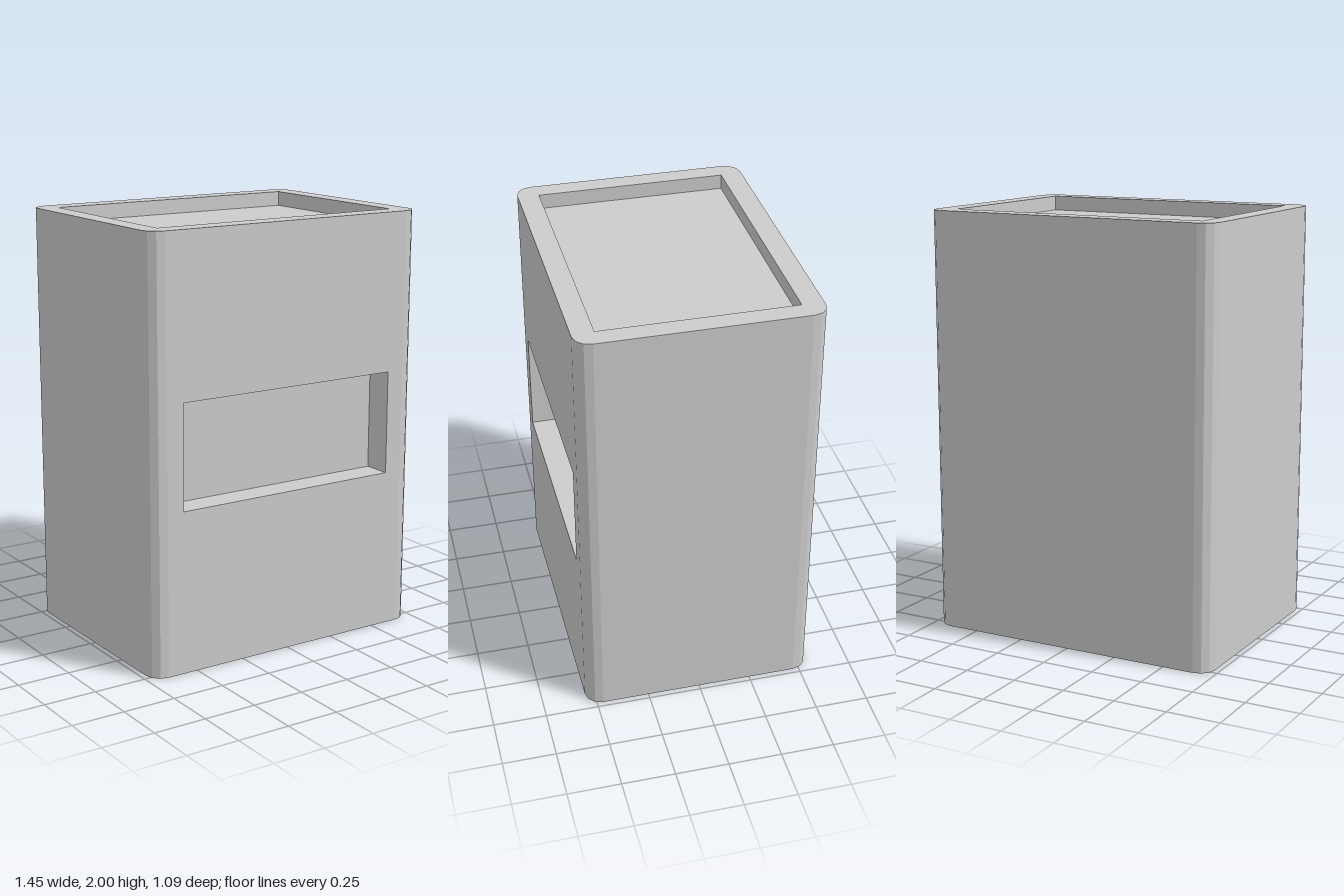
import * as THREE from 'three';

const W = 0.725, D = 0.545, H = 2, R = 0.075, STEPS = 3;
const TRAY = { x: 0.63, z: 0.445, depth: 0.07 };
const SLOT = { x: 0.565, y0: 0.76, y1: 1.25, depth: 0.135 };

// Rounded rectangle footprint, counter-clockwise, with y standing for -z
function footprint() {
  const pts = [];
  [[1, 1], [-1, 1], [-1, -1], [1, -1]].forEach(([sx, sy], k) => {
    for (let i = 0; i <= STEPS; i++) {
      const a = (k + i / STEPS) * Math.PI / 2;
      pts.push(new THREE.Vector2(sx * (W - R) + R * Math.cos(a), sy * (D - R) + R * Math.sin(a)));
    }
  });
  return pts;
}

function rectPath(x0, y0, x1, y1, PathType = THREE.Path) {
  return new PathType([[x0, y0], [x1, y0], [x1, y1], [x0, y1]].map(p => new THREE.Vector2(...p)));
}

// Box turned inside out, with one face left open (0 to 5: +x -x +y -y +z -z)
function recess(w, h, d, openFace) {
  const g = new THREE.BoxGeometry(w, h, d);
  const index = Array.from(g.index.array);
  index.splice(openFace * 6, 6);
  g.setIndex(index);
  g.clearGroups();
  g.scale(-1, 1, 1);
  g.computeVertexNormals();
  return g;
}

// Vertical walls along the footprint, leaving out the flat front
function wallGeometry(pts) {
  const pos = [];
  pts.forEach((a, i) => {
    const b = pts[(i + 1) % pts.length];
    if (a.y < -D + 1e-6 && b.y < -D + 1e-6) return;
    const a0 = [a.x, 0, -a.y], b0 = [b.x, 0, -b.y], a1 = [a.x, H, -a.y], b1 = [b.x, H, -b.y];
    pos.push(...a0, ...b0, ...b1, ...a0, ...b1, ...a1);
  });
  const g = new THREE.BufferGeometry();
  g.setAttribute('position', new THREE.Float32BufferAttribute(pos, 3));
  g.computeVertexNormals();
  return g;
}

export function createModel() {
  const group = new THREE.Group();
  group.name = 'bin';
  const grey = new THREE.MeshStandardMaterial({ color: 0xcccccc });
  grey.name = 'light grey';

  const add = (name, geometry, x = 0, y = 0, z = 0) => {
    const mesh = new THREE.Mesh(geometry, grey);
    mesh.name = name;
    mesh.position.set(x, y, z);
    group.add(mesh);
  };

  const pts = footprint();
  add('walls', wallGeometry(pts));

  // Front panel with the slot opening
  const front = rectPath(-(W - R), 0, W - R, H, THREE.Shape);
  front.holes.push(rectPath(-SLOT.x, SLOT.y0, SLOT.x, SLOT.y1));
  add('frontPanel', new THREE.ShapeGeometry(front), 0, 0, D);
  add('frontSlot', recess(2 * SLOT.x, SLOT.y1 - SLOT.y0, SLOT.depth, 4),
    0, (SLOT.y0 + SLOT.y1) / 2, D - SLOT.depth / 2);

  // Top rim around the shallow tray
  const rim = new THREE.Shape(pts);
  rim.holes.push(rectPath(-TRAY.x, -TRAY.z, TRAY.x, TRAY.z));
  add('topRim', new THREE.ShapeGeometry(rim).rotateX(-Math.PI / 2), 0, H, 0);
  add('topTray', recess(2 * TRAY.x, TRAY.depth, 2 * TRAY.z, 2), 0, H - TRAY.depth / 2, 0);

  // Underside
  add('base', new THREE.ShapeGeometry(new THREE.Shape(pts)).rotateX(Math.PI / 2));
  return group;
}
